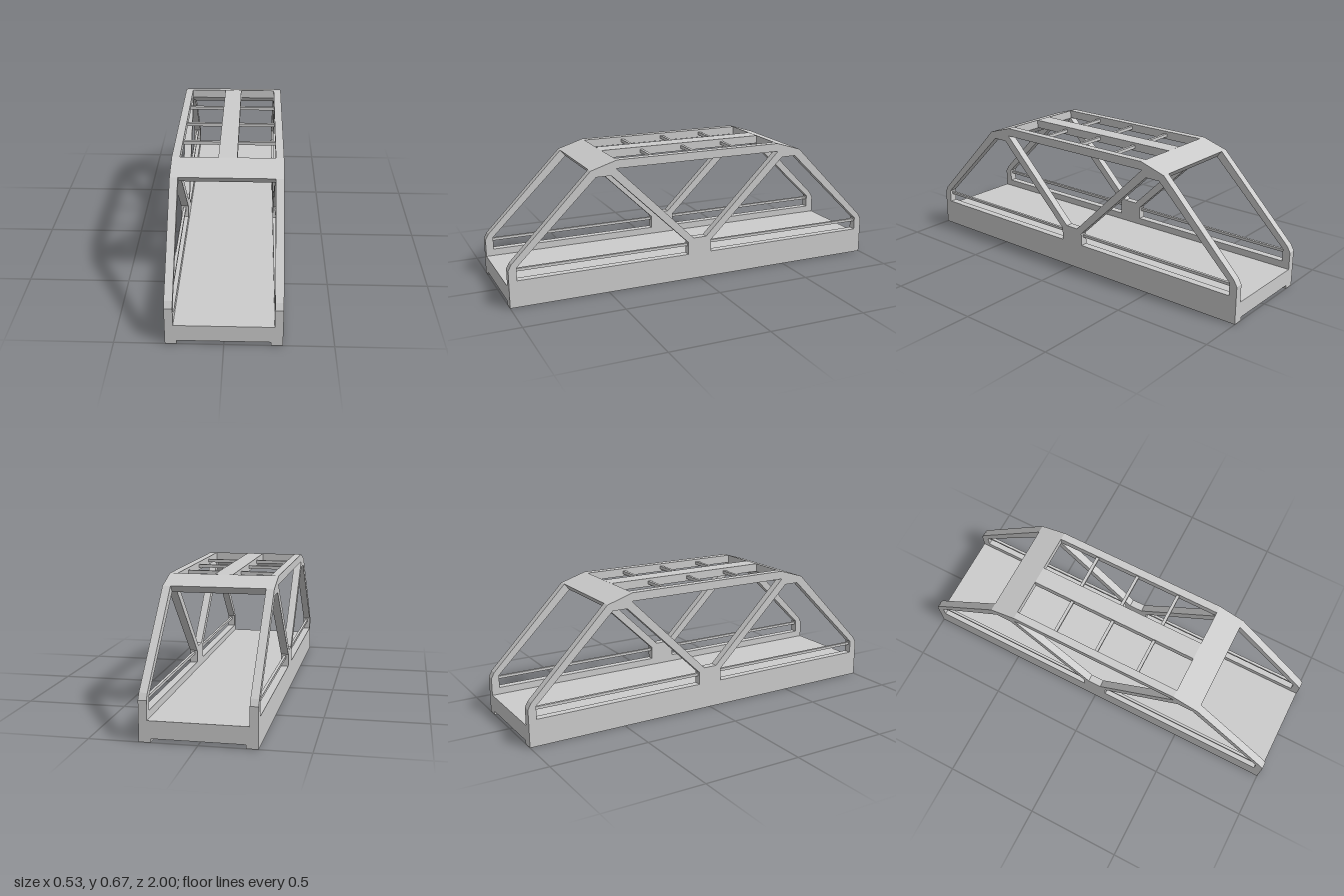
import * as THREE from 'three';

const INNER = 0.228, OUTER = 0.267;

export function createModel() {
  const group = new THREE.Group();
  group.name = 'trussBridge';
  const material = new THREE.MeshStandardMaterial({ color: 0xcccccc, flatShading: true });

  const add = (name, geometry) => {
    const mesh = new THREE.Mesh(geometry, material);
    mesh.name = name;
    group.add(mesh);
  };
  // Box given by its limits on each axis
  const box = (name, x0, x1, y0, y1, z0, z1) => {
    const g = new THREE.BoxGeometry(x1 - x0, y1 - y0, z1 - z0);
    g.translate((x0 + x1) / 2, (y0 + y1) / 2, (z0 + z1) / 2);
    add(name, g);
  };
  const toPoints = (list) => list.map(([z, y]) => new THREE.Vector2(z, y));
  const mirrored = (list) => list.map(([z, y]) => [-z, y]).reverse();
  // Side profile in (z, y), extruded across x
  const extrudeAcross = (name, outline, holes, x0, x1) => {
    const shape = new THREE.Shape(toPoints(outline));
    holes.forEach((h) => shape.holes.push(new THREE.Path(toPoints(h))));
    const g = new THREE.ExtrudeGeometry(shape, { depth: x1 - x0, bevelEnabled: false });
    g.rotateY(-Math.PI / 2);
    g.translate(x1, 0, 0);
    add(name, g);
  };

  // Side trusses: one plate with two end openings and a middle opening
  const half = [[1, 0], [1, 0.19], [0.983, 0.22], [0.58, 0.63], [0.445, 0.672]];
  const endHole = [[0.96, 0.135], [0.96, 0.2], [0.553, 0.597], [0.475, 0.597], [0.065, 0.2], [0.065, 0.135]];
  const middleHole = [[0.45, 0.63], [-0.45, 0.63], [-0.035, 0.22], [0.035, 0.22]];
  const outline = [...half, ...mirrored(half)];
  const holes = [endHole, mirrored(endHole), middleHole];
  extrudeAcross('leftTruss', outline, holes, INNER, OUTER);
  extrudeAcross('rightTruss', outline, holes, -OUTER, -INNER);

  // Portals joining the trusses at the top of each end
  const portal = [[0.58, 0.63], [0.445, 0.672], [0.445, 0.628], [0.475, 0.597], [0.553, 0.597]];
  extrudeAcross('frontPortal', portal, [], -INNER, INNER);
  extrudeAcross('backPortal', mirrored(portal), [], -INNER, INNER);

  // Roof: central walkway and thin cross bars
  box('roofWalkway', -0.045, 0.045, 0.63, 0.672, -0.446, 0.446);
  for (const z of [-0.23, 0, 0.23]) {
    for (const s of [-1, 1]) {
      const x = s * (INNER + 0.045) / 2, w = (INNER - 0.045) / 2;
      box('roofCrossBar', x - w, x + w, 0.643, 0.659, z - 0.008, z + 0.008);
    }
  }

  // Deck with cross beams below
  box('deck', -INNER, INNER, 0.058, 0.1, -1, 1);
  for (let i = -2; i <= 2; i++) {
    const z = i * 0.49;
    box('crossBeam', -INNER, INNER, 0.018, 0.06, z - 0.02, z + 0.02);
  }
  // Close the ends of the deck
  for (const s of [-1, 1]) box('endBeam', -INNER, INNER, 0.018, 0.06, s * 0.98 - 0.02, s * 0.98 + 0.02);

  // Bottom flanges and handrails along each side
  for (const s of [-1, 1]) {
    const flange = [s * 0.213, s * INNER].sort((a, b) => a - b);
    box('bottomFlange', ...flange, 0, 0.06, -1, 1);
    const x = s * (INNER + OUTER) / 2;
    box('frontHandrail', x - 0.007, x + 0.007, 0.178, 0.192, 0.065, 0.96);
    box('backHandrail', x - 0.007, x + 0.007, 0.178, 0.192, -0.96, -0.065);
  }
  return group;
}
